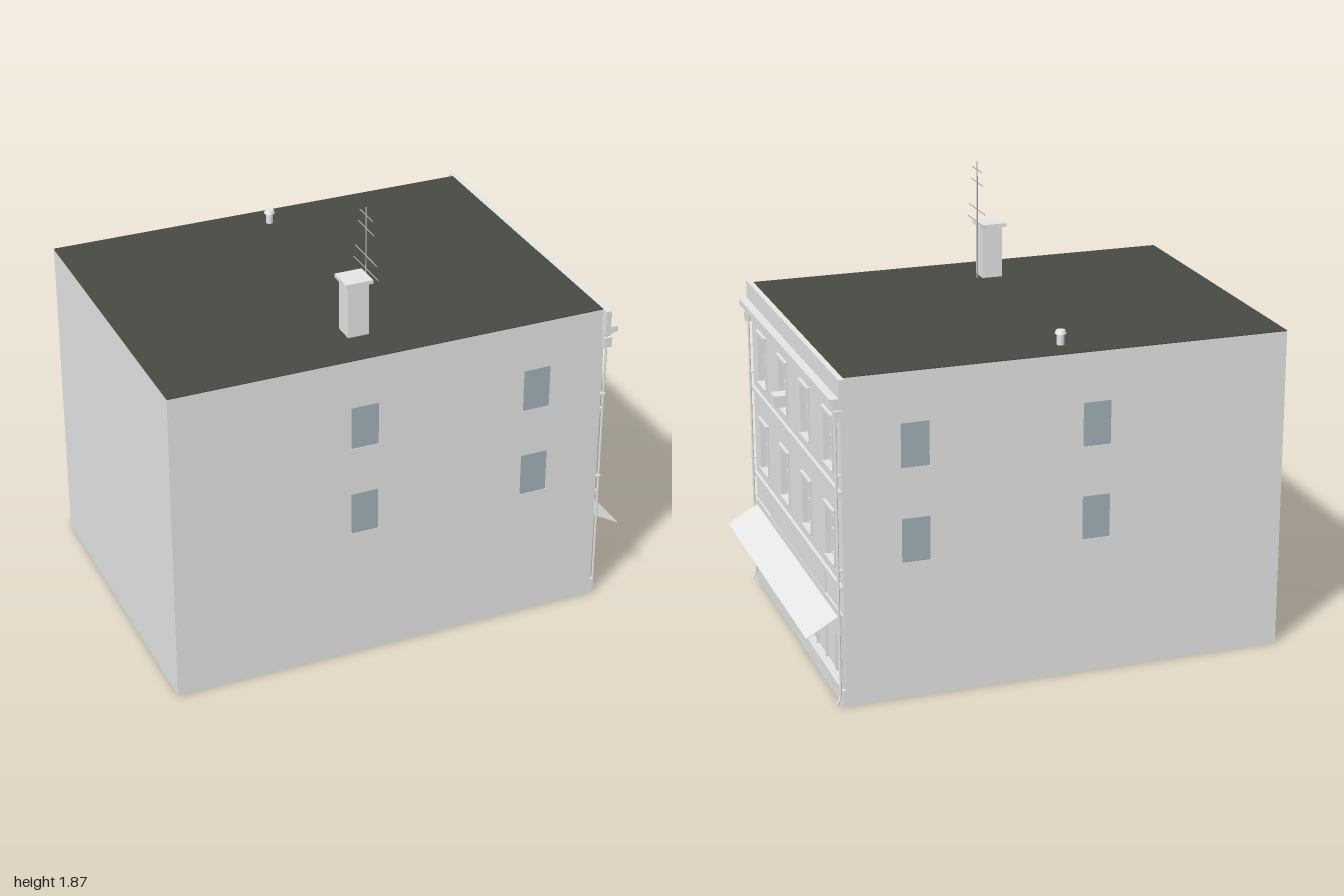
import * as THREE from 'three';

const mat = (name, color) => {
  const m = new THREE.MeshStandardMaterial({ color });
  m.name = name;
  return m;
};

export function createModel() {
  const stone = mat('pale stone', 0xe6e6e6);
  const roofing = mat('dark roofing', 0x4a4a44);
  const glass = mat('blue grey glass', 0xa3b2b9);
  const metal = mat('grey metal', 0xb0b0b0);
  const floorGrey = mat('floor grey', 0xc8c8c8);

  const model = new THREE.Group();
  model.name = 'cornerShopBuilding';
  const add = (parent, name, geo, m, x = 0, y = 0, z = 0) => {
    const mesh = new THREE.Mesh(geo, m);
    mesh.name = name;
    mesh.position.set(x, y, z);
    parent.add(mesh);
    return mesh;
  };
  // box given by its limits on each axis
  const box = (parent, name, m, x0, x1, y0, y1, z0, z1) =>
    add(parent, name, new THREE.BoxGeometry(x1 - x0, y1 - y0, z1 - z0), m,
      (x0 + x1) / 2, (y0 + y1) / 2, (z0 + z1) / 2);

  // shell, open underneath
  box(model, 'backWall', stone, -1, -0.994, 0, 1.357, -0.692, 0.692);
  for (const s of [-1, 1]) {
    add(model, 'sideWall', new THREE.BoxGeometry(1.852, 1.357, 0.006), stone, -0.07, 0.6785, s * 0.69);
    for (const x of [-0.19, 0.56]) for (const y of [0.668, 1.06]) {
      add(model, 'sideWindow', new THREE.BoxGeometry(0.115, 0.182, 0.003), glass, x, y, s * 0.694);
      add(model, 'sideSill', new THREE.BoxGeometry(0.125, 0.005, 0.005), stone, x, y - 0.0935, s * 0.695);
    }
  }
  box(model, 'roof', roofing, -1, 0.846, 1.357, 1.36, -0.693, 0.693);

  // shop floor with small round fittings underneath
  box(model, 'shopFloor', floorGrey, 0.28, 0.85, 0.012, 0.022, -0.685, 0.685);
  for (const s of [-1, 1]) for (let i = 0; i < 6; i++)
    add(model, 'floorFitting', new THREE.CylinderGeometry(0.022, 0.022, 0.006, 16), floorGrey,
      0.49, 0.01, s * (0.08 + 0.095 * i));

  // street side: local x runs along the street, local z points outwards
  const facade = new THREE.Group();
  facade.name = 'facade';
  facade.rotation.y = Math.PI / 2;
  model.add(facade);

  const columns = [-0.522, -0.174, 0.174, 0.522];
  const floors = [0.56, 0.952];
  const rect = (Type, x0, x1, y0, y1) => new Type([
    new THREE.Vector2(x0, y0), new THREE.Vector2(x1, y0),
    new THREE.Vector2(x1, y1), new THREE.Vector2(x0, y1)]);
  const wall = rect(THREE.Shape, -0.69, 0.69, 0, 1.355);
  for (const x of columns) for (const y of floors)
    wall.holes.push(rect(THREE.Path, x - 0.06, x + 0.06, y, y + 0.215));
  wall.holes.push(rect(THREE.Path, -0.65, -0.075, 0.07, 0.257));
  wall.holes.push(rect(THREE.Path, 0.075, 0.65, 0.07, 0.257));
  wall.holes.push(rect(THREE.Path, -0.06, 0.06, 0.045, 0.257));
  add(facade, 'streetWall',
    new THREE.ExtrudeGeometry(wall, { depth: 0.035, bevelEnabled: false }), stone, 0, 0, 0.82);

  // sash windows
  const sashWindow = (cx, y0) => {
    const g = new THREE.Group();
    g.name = 'sashWindow';
    g.position.set(cx, y0, 0);
    facade.add(g);
    box(g, 'pane', glass, -0.06, 0.06, 0, 0.215, 0.826, 0.83);
    for (const s of [-1, 1]) {
      box(g, 'jamb', stone, s * 0.057 - 0.003, s * 0.057 + 0.003, 0, 0.215, 0.83, 0.838);
      box(g, 'glazingBar', stone, s * 0.019 - 0.002, s * 0.019 + 0.002, 0, 0.215, 0.83, 0.834);
      box(g, 'architrave', stone, s * 0.064 - 0.004, s * 0.064 + 0.004, 0, 0.215, 0.85, 0.862);
    }
    for (const y of [0.055, 0.16]) box(g, 'glazingBar', stone, -0.056, 0.056, y - 0.002, y + 0.002, 0.83, 0.834);
    box(g, 'meetingRail', stone, -0.056, 0.056, 0.104, 0.111, 0.83, 0.838);
    box(g, 'bottomRail', stone, -0.056, 0.056, 0, 0.01, 0.83, 0.838);
    box(g, 'topRail', stone, -0.056, 0.056, 0.207, 0.215, 0.83, 0.838);
    box(g, 'sill', stone, -0.068, 0.068, -0.01, 0, 0.83, 0.868);
    box(g, 'hood', stone, -0.072, 0.072, 0.215, 0.227, 0.85, 0.868);
  };
  for (const x of columns) for (const y of floors) sashWindow(x, y);
  box(facade, 'airConditioner', stone, -0.208, -0.142, 0.975, 1.025, 0.83, 0.902);
  box(facade, 'airConditionerGrille', stone, -0.2, -0.15, 0.982, 1.018, 0.902, 0.904);

  // string courses, plinth and signboard
  box(facade, 'upperCourse', stone, -0.692, 0.692, 0.882, 0.9, 0.85, 0.868);
  box(facade, 'lowerCourse', stone, -0.692, 0.692, 0.488, 0.506, 0.85, 0.868);
  box(facade, 'plinthLeft', stone, -0.695, -0.06, 0, 0.068, 0.85, 0.868);
  box(facade, 'plinthRight', stone, 0.06, 0.695, 0, 0.068, 0.85, 0.868);
  box(facade, 'signBoard', stone, -0.44, 0.44, 0.385, 0.488, 0.85, 0.863);
  box(facade, 'shopFascia', stone, -0.66, 0.66, 0.297, 0.382, 0.85, 0.863);

  // parapet, cornice and dentils
  box(facade, 'parapet', stone, -0.725, 0.725, 1.267, 1.36, 0.845, 0.868);
  box(facade, 'corniceTop', stone, -0.72, 0.72, 1.26, 1.285, 0.85, 0.903);
  box(facade, 'corniceBed', stone, -0.71, 0.71, 1.248, 1.26, 0.85, 0.89);
  box(facade, 'dentilBacking', stone, -0.7, 0.7, 1.232, 1.248, 0.85, 0.87);
  box(facade, 'friezeBand', stone, -0.69, 0.69, 1.19, 1.232, 0.85, 0.86);
  for (let i = 0; i < 20; i++) {
    const x = -0.684 + i * 0.072;
    box(facade, 'dentil', stone, x - 0.012, x + 0.012, 1.232, 1.248, 0.865, 0.884);
  }
  for (const s of [-1, 1])
    box(facade, 'corniceBracket', stone, s * 0.697 - 0.013, s * 0.697 + 0.013, 1.19, 1.232, 0.85, 0.885);

  // shopfront glazing and mullions
  for (const s of [-1, 1]) {
    box(facade, 'shopPane', stone, s * 0.3625 - 0.2875, s * 0.3625 + 0.2875, 0.07, 0.257, 0.828, 0.834);
    for (const x of [0.22, 0.36, 0.505])
      box(facade, 'mullion', stone, s * x - 0.003, s * x + 0.003, 0.07, 0.257, 0.834, 0.845);
    box(facade, 'shopPilaster', stone, s * 0.667 - 0.012, s * 0.667 + 0.012, 0.068, 0.382, 0.85, 0.866);
    // entrance recess sides and door frame
    box(facade, 'entranceSide', stone, s * 0.064 - 0.004, s * 0.064 + 0.004, 0.045, 0.257, 0.74, 0.855);
    box(facade, 'doorFrame', stone, s * 0.056 - 0.004, s * 0.056 + 0.004, 0.055, 0.257, 0.75, 0.765);
  }
  box(facade, 'transomRail', stone, -0.65, 0.65, 0.291, 0.297, 0.85, 0.86);
  box(facade, 'entranceCeiling', stone, -0.068, 0.068, 0.257, 0.262, 0.74, 0.85);
  box(facade, 'door', glass, -0.052, 0.052, 0.055, 0.252, 0.748, 0.756);
  box(facade, 'doorHandle', metal, 0.0, 0.006, 0.115, 0.135, 0.756, 0.764);
  box(facade, 'entranceStep', stone, -0.06, 0.06, 0.002, 0.055, 0.74, 0.868);

  // sloping awning
  const awning = add(facade, 'awning', new THREE.BoxGeometry(1.3, 0.003, 0.15), stone, 0, 0.327, 0.934);
  awning.rotation.x = 0.52;

  // drainpipes with kicked-out feet
  for (const s of [-1, 1]) {
    const path = new THREE.CurvePath();
    const pts = [[1.235, 0.874], [0.06, 0.874], [0.03, 0.876], [0.006, 0.89]]
      .map(([y, z]) => new THREE.Vector3(s * 0.683, y, z));
    for (let i = 0; i < 3; i++) path.add(new THREE.LineCurve3(pts[i], pts[i + 1]));
    add(facade, 'drainpipe', new THREE.TubeGeometry(path, 60, 0.005, 8), stone);
    for (const y of [0.57, 0.96])
      box(facade, 'pipeBracket', stone, s * 0.683 - 0.009, s * 0.683 + 0.009, y, y + 0.006, 0.85, 0.88);
  }

  // chimney
  box(model, 'chimneyStack', stone, -0.187, -0.098, 1.355, 1.582, 0.43, 0.518);
  box(model, 'chimneyCap', stone, -0.2, -0.085, 1.582, 1.597, 0.415, 0.527);

  // aerial
  add(model, 'aerialMast', new THREE.CylinderGeometry(0.003, 0.003, 0.515, 8), metal, -0.078, 1.6125, 0.441);
  for (const [y, len] of [[1.835, 0.12], [1.78, 0.15], [1.662, 0.205], [1.607, 0.235]])
    add(model, 'aerialBar', new THREE.BoxGeometry(0.003, 0.003, len), metal, -0.078, y, 0.441);

  // roof vent
  add(model, 'ventPipe', new THREE.CylinderGeometry(0.015, 0.015, 0.05, 16), stone, -0.078, 1.383, -0.572);
  add(model, 'ventCap', new THREE.CylinderGeometry(0.018, 0.024, 0.014, 16), stone, -0.078, 1.413, -0.572);

  return model;
}
